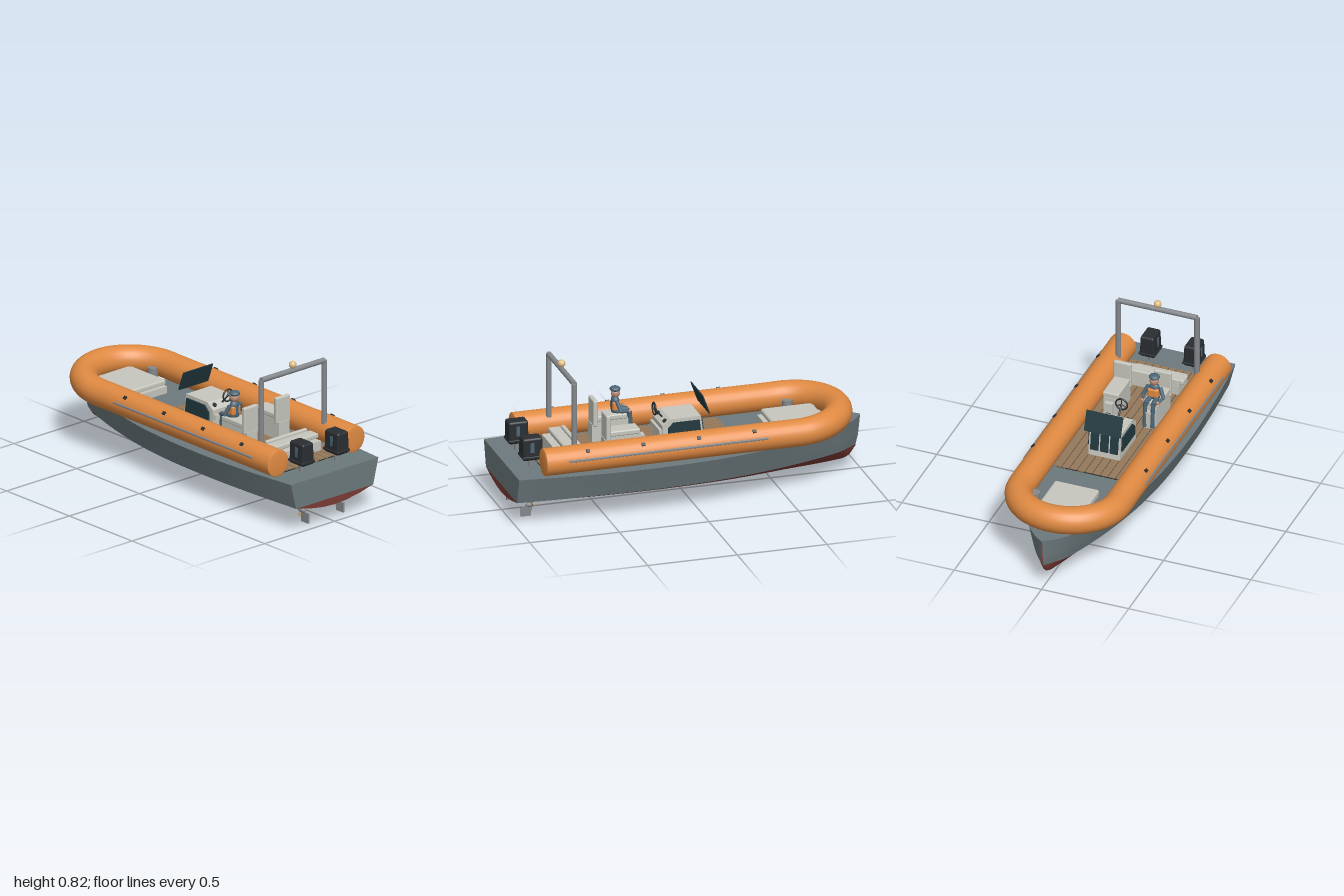
import * as THREE from 'three';
import { RoundedBoxGeometry } from 'three/addons/geometries/RoundedBoxGeometry.js';

const C = { orange: 0xe08a42, hull: 0x6c797c, red: 0x7c3b35, wood: 0x94785a, dark: 0x2a2e31, seat: 0xc6c6be,
  metal: 0x85888c, glass: 0x22393f, gold: 0xb59a68, cloth: 0x4d6676, skin: 0xb98c74, lamp: 0xe0bf85 };
const mats = {};
const mat = (c) => (mats[c] ??= new THREE.MeshStandardMaterial({ color: c, side: THREE.DoubleSide }));

export function createModel() {
  const root = new THREE.Group();
  let parent = root;
  const add = (name, geo, color, x = 0, y = 0, z = 0) => {
    const m = new THREE.Mesh(geo, mat(color));
    m.name = name;
    m.position.set(x, y, z);
    parent.add(m);
    return m;
  };
  const group = (name, x, y, z, build) => {
    const g = new THREE.Group();
    g.name = name;
    g.position.set(x, y, z);
    const outer = parent;
    parent = g;
    build();
    parent = outer;
    outer.add(g);
  };
  const box = (w, h, d) => new THREE.BoxGeometry(w, h, d);
  const soft = (w, h, d, r = 0.008) => new RoundedBoxGeometry(w, h, d, 2, r);
  const cyl = (r, h, r2 = r, n = 16) => new THREE.CylinderGeometry(r, r2, h, n);
  // Rod between two points
  const rod = (name, a, b, r, color) => {
    const A = new THREE.Vector3(...a), d = new THREE.Vector3(...b).sub(A);
    const m = add(name, cyl(r, d.length()), color);
    m.position.copy(A).addScaledVector(d, 0.5);
    m.quaternion.setFromUnitVectors(new THREE.Vector3(0, 1, 0), d.normalize());
    return m;
  };
  // Side profile of (z, y) points, extruded across x
  const profile = (pts, width) => {
    const s = new THREE.Shape(pts.map((p) => new THREE.Vector2(...p)));
    return new THREE.ExtrudeGeometry(s, { depth: width, bevelEnabled: false })
      .rotateY(-Math.PI / 2).translate(width / 2, 0, 0);
  };
  // Skin over rows of points
  const skin = (rows) => {
    const n = rows[0].length, idx = [];
    for (let r = 0; r < rows.length - 1; r++) for (let c = 0; c < n - 1; c++) {
      const a = r * n + c, d = a + n;
      idx.push(a, a + 1, d, a + 1, d + 1, d);
    }
    const g = new THREE.BufferGeometry();
    g.setAttribute('position', new THREE.Float32BufferAttribute(rows.flat(2), 3));
    g.setIndex(idx);
    g.computeVertexNormals();
    return g;
  };

  // Hull stations: z, sheer half width, chine half width, keel y, sheer y
  const stations = [
    [-1, 0.004, 0.003, 0.13, 0.307], [-0.94, 0.07, 0.045, 0.075, 0.303], [-0.84, 0.14, 0.1, 0.064, 0.299],
    [-0.6, 0.235, 0.185, 0.057, 0.29], [-0.3, 0.308, 0.257, 0.052, 0.283], [0, 0.342, 0.295, 0.05, 0.28],
    [0.35, 0.351, 0.305, 0.052, 0.279], [0.7, 0.337, 0.295, 0.062, 0.281], [1, 0.312, 0.275, 0.098, 0.285]];
  const spline = (f) => new THREE.CatmullRomCurve3(stations.map((s) => new THREE.Vector3(...f(s))), false, 'catmullrom', 0.5);
  const plan = spline((s) => [s[0], s[1], s[2]]), heights = spline((s) => [s[3], s[4], 0]);
  const sections = [];
  for (let i = 0; i <= 48; i++) {
    const { x: z, y: w, z: c } = plan.getPoint(i / 48), { x: k, y: top } = heights.getPoint(i / 48);
    const rake = 0.025 * Math.max(0, (-z - 0.85) / 0.15), drop = 0.14 - k;
    const half = [[0.3, k + drop * 0.1], [0.66, k + drop * 0.48], [0.9, k + drop * 0.87], [1, 0.14]]
      .map(([f, y]) => [c * f, y, z + rake]);
    half.push([c + (w - c) * 0.35, 0.19, z + rake * 0.5], [w, top, z]);
    sections.push([...half.map(([x, y, d]) => [-x, y, d]).reverse(), [0, k, z + rake], ...half]);
  }
  const strip = (a, b) => skin(sections.map((s) => s.slice(a, b + 1)));
  group('hull', 0, 0, 0, () => {
    add('hullBottom', strip(2, 10), C.red);
    for (const a of [0, 1, 10, 11]) add('hullSide', strip(a, a + 1), C.hull);
    add('hullDeck', skin(sections.map((s) => [s[12], s[0]])), C.hull);
    const last = sections.at(-1);
    const plate = (ids) => new THREE.ShapeGeometry(new THREE.Shape(ids.map((i) => new THREE.Vector2(last[i][0], last[i][1]))));
    add('transom', plate([0, 1, 2, 10, 11, 12]), C.hull, 0, 0, 1);
    add('transomBottom', plate([2, 3, 4, 5, 6, 7, 8, 9, 10]), C.red, 0, 0, 1);
  });

  // Planked floor
  add('floorFrame', box(0.43, 0.006, 1.1), C.dark, 0, 0.285, 0.28);
  for (let i = 0; i < 10; i++) add('floorPlank', box(0.04, 0.008, 1.1), C.wood, -0.198 + i * 0.044, 0.288, 0.28);

  // Inflatable collar, rising at the bow
  const path = [];
  const R = 0.272, bend = -0.595;
  for (let i = 0; i < 10; i++) path.push(new THREE.Vector3(-R, 0.356, 0.85 - (i / 10) * (0.85 - bend)));
  for (let i = 0; i <= 24; i++) {
    const a = (i / 24) * Math.PI;
    path.push(new THREE.Vector3(-R * Math.cos(a), 0.356 + 0.018 * Math.sin(a), bend - R * Math.sin(a)));
  }
  for (let i = 9; i >= 0; i--) path.push(new THREE.Vector3(R, 0.356, path[i].z));
  add('collarTube', new THREE.TubeGeometry(new THREE.CatmullRomCurve3(path), 140, 0.075, 24), C.orange);
  for (const s of [-1, 1]) {
    add('collarEnd', new THREE.SphereGeometry(0.075, 24, 12), C.orange, s * R, 0.356, 0.85).scale.z = 0.1;
    add('rubStrip', soft(0.01, 0.012, 1.11, 0.003), C.metal, s * 0.346, 0.372, 0.175);
    for (const z of [-0.31, 0, 0.31, 0.62]) {
      const p = add('collarFitting', box(0.018, 0.012, 0.02), C.dark, s * 0.323, 0.412, z);
      p.rotation.z = -s * 0.75;
    }
    add('bowPost', cyl(0.028, 0.075), C.metal, s * 0.178, 0.325, -0.65);
    // Arch legs
    add('archLeg', cyl(0.015, 0.36), C.metal, s * 0.225, 0.585, 0.665);
  }
  rod('archBar', [-0.225, 0.765, 0.665], [0.225, 0.765, 0.665], 0.015, C.metal);
  add('archLamp', new THREE.SphereGeometry(0.021, 16, 12), C.lamp, 0, 0.797, 0.665);

  // Bow sun pad
  add('bowLocker', box(0.22, 0.04, 0.34), C.seat, 0, 0.305, -0.63);
  add('bowCushion', soft(0.255, 0.035, 0.29, 0.012), C.seat, 0, 0.335, -0.63);

  // Steering console
  group('console', 0, 0, 0, () => {
    add('consoleBody', profile([[-0.105, 0.29], [0.13, 0.29], [0.13, 0.405], [0.085, 0.44], [-0.085, 0.44]], 0.18), C.seat);
    add('consoleStep', box(0.17, 0.03, 0.03), C.seat, 0, 0.365, 0.13);
    for (const s of [-1, 1]) {
      add('consoleSideWindow', profile([[-0.085, 0.34], [0.1, 0.34], [0.1, 0.39], [0.07, 0.42], [-0.075, 0.42]], 0.01), C.glass, s * 0.094);
    }
    for (const x of [-0.056, 0, 0.056]) {
      add('consoleFrontWindow', box(0.046, 0.1, 0.008), C.glass, x, 0.375, -0.097).rotation.x = 0.13;
    }
    add('windscreen', box(0.21, 0.115, 0.006), C.glass, 0, 0.507, -0.109).rotation.x = 0.35;
    for (const x of [-0.06, 0.06]) {
      add('gauge', cyl(0.012, 0.008), C.dark, x, 0.424, 0.109).rotation.x = 0.66;
    }
    add('steeringWheel', new THREE.TorusGeometry(0.033, 0.0045, 8, 28), C.dark, 0, 0.475, 0.148);
    for (let i = 0; i < 3; i++) {
      const a = Math.PI / 2 + (i * Math.PI * 2) / 3;
      rod('wheelSpoke', [0, 0.475, 0.148], [0.032 * Math.cos(a), 0.475 + 0.032 * Math.sin(a), 0.148], 0.003, C.dark);
    }
    rod('wheelColumn', [0, 0.475, 0.148], [0, 0.42, 0.1], 0.005, C.dark);
  });

  // Helm seats
  for (const s of [-1, 1]) group('helmSeat', s * 0.115, 0, 0, () => {
    add('seatBase', box(0.075, 0.12, 0.18), C.seat, 0, 0.35, 0.36);
    add('seatCushion', soft(0.092, 0.03, 0.17), C.seat, 0, 0.422, 0.36);
    add('seatFront', box(0.045, 0.1, 0.03), C.seat, 0, 0.34, 0.258);
    add('seatBack', soft(0.1, 0.15, 0.026), C.seat, 0, 0.455, 0.453);
    add('seatBackFoot', box(0.075, 0.1, 0.02), C.seat, 0, 0.34, 0.46);
  });

  // Stern bench
  add('benchBase', box(0.29, 0.055, 0.13), C.seat, 0, 0.317, 0.665);
  add('benchCushion', soft(0.33, 0.028, 0.07), C.seat, 0, 0.357, 0.655);
  add('benchBack', soft(0.29, 0.08, 0.024), C.seat, 0, 0.345, 0.613);

  // Twin outboard engines
  for (const s of [-1, 1]) group('outboard', s * 0.125, 0, 0, () => {
    const taper = soft(0.088, 0.125, 0.11, 0.012);
    const p = taper.attributes.position;
    for (let i = 0; i < p.count; i++) p.setX(i, p.getX(i) * (0.93 - p.getY(i) * 1.1));
    add('cowl', taper, C.dark, 0, 0.39, 0.876);
    add('cowlBand', soft(0.094, 0.014, 0.116, 0.004), C.dark, 0, 0.345, 0.876);
    for (const k of [-1, 1]) add('cowlTrim', box(0.006, 0.055, 0.02), C.cloth, k * 0.04, 0.4, 0.88);
    add('engineLeg', cyl(0.013, 0.29), C.metal, 0, 0.2, 0.876);
    add('gearcase', new THREE.SphereGeometry(0.014, 16, 10), C.metal, 0, 0.062, 0.88).scale.z = 1.8;
    add('skeg', box(0.012, 0.055, 0.055), C.metal, 0, 0.0275, 0.905);
    group('propeller', 0, 0.062, 0.872, () => {
      for (let i = 0; i < 3; i++) {
        const a = 0.3 + (i * Math.PI * 2) / 3;
        const b = add('blade', box(0.034, 0.018, 0.004), C.gold, 0.021 * Math.cos(a), 0.021 * Math.sin(a), 0);
        b.rotation.set(0.5, 0, a, 'ZYX');
      }
      add('hub', cyl(0.01, 0.03), C.gold).rotation.x = Math.PI / 2;
    });
  });

  // Seated helmsman
  group('helmsman', -0.115, 0, 0.33, () => {
    add('torso', new THREE.CapsuleGeometry(0.03, 0.05, 6, 16), C.cloth, 0, 0.475, 0).scale.z = 0.75;
    add('lifeVest', soft(0.062, 0.055, 0.05, 0.012), C.orange, 0, 0.475, -0.004);
    add('head', new THREE.SphereGeometry(0.025, 16, 12), C.skin, 0, 0.543, -0.002);
    add('cap', new THREE.SphereGeometry(0.03, 16, 10), C.cloth, 0, 0.568, 0).scale.y = 0.5;
    for (const s of [-1, 1]) {
      rod('upperArm', [s * 0.035, 0.505, 0], [s * 0.057, 0.455, -0.015], 0.011, C.cloth);
      rod('forearm', [s * 0.057, 0.455, -0.015], [s * 0.045, 0.448, -0.06], 0.009, C.cloth);
      add('hand', new THREE.SphereGeometry(0.01, 10, 8), C.skin, s * 0.045, 0.448, -0.064);
      rod('thigh', [s * 0.018, 0.445, 0], [s * 0.022, 0.435, -0.075], 0.014, C.cloth);
      rod('shin', [s * 0.022, 0.437, -0.075], [s * 0.022, 0.3, -0.085], 0.011, C.cloth);
    }
  });

  return root;
}
